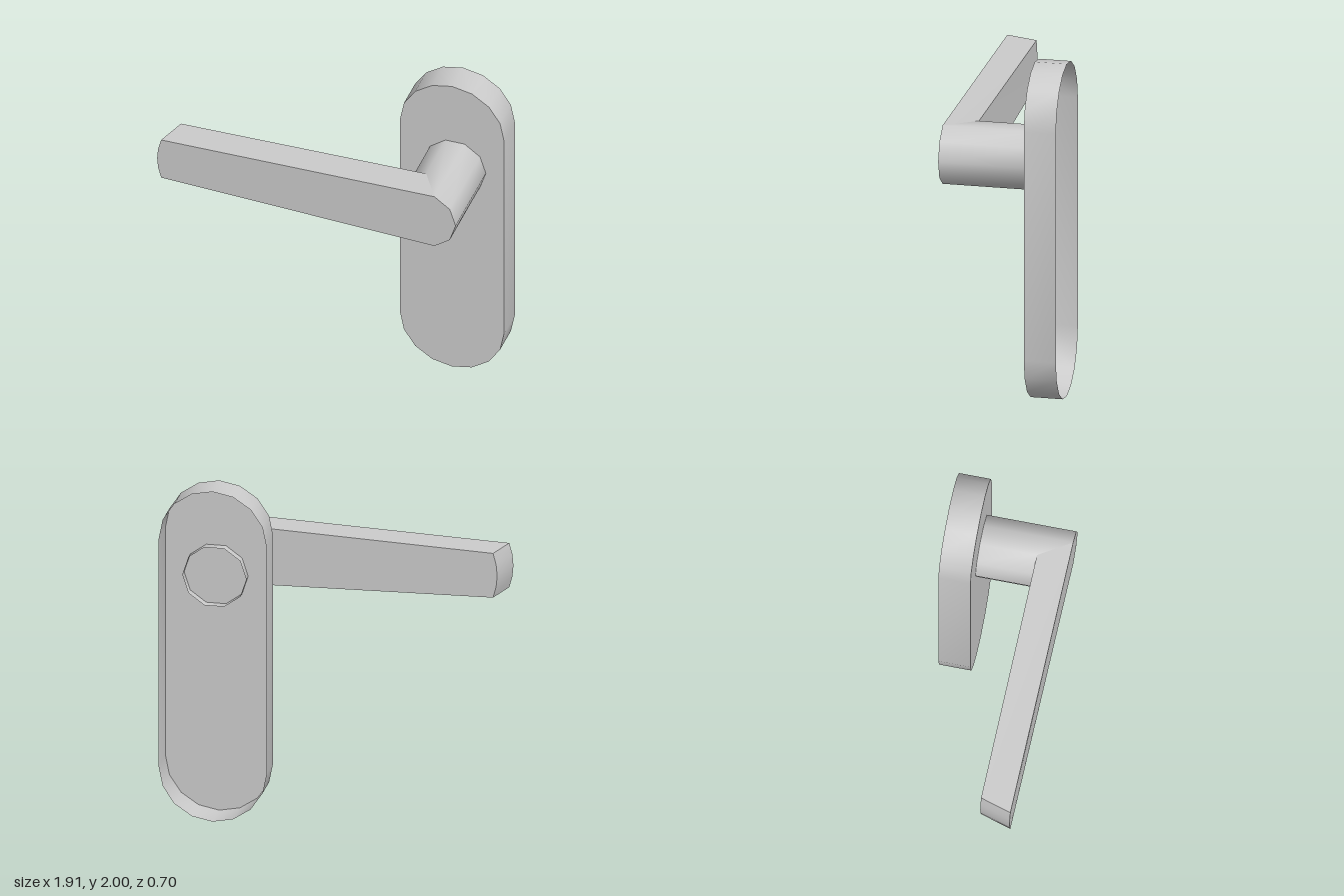
import * as THREE from 'three';
import { toCreasedNormals } from 'three/addons/utils/BufferGeometryUtils.js';

const V = (x, y, z) => new THREE.Vector3(x, y, z);

// Wall between a front and a back outline, both counter-clockwise from the front
function wall(front, back, closed) {
  const tris = [];
  const count = closed ? front.length : front.length - 1;
  for (let i = 0; i < count; i++) {
    const j = (i + 1) % front.length;
    tris.push(front[i], back[i], back[j], front[i], back[j], front[j]);
  }
  return tris;
}

// Filled outline, facing +z or, when flipped, -z
function cap(loop, flip = false) {
  const flat = loop.map((p) => new THREE.Vector2(p.x, p.y));
  return THREE.ShapeUtils.triangulateShape(flat, []).flatMap(([a, b, c]) =>
    flip ? [loop[a], loop[c], loop[b]] : [loop[a], loop[b], loop[c]]);
}

function part(name, ...pieces) {
  const geometry = toCreasedNormals(new THREE.BufferGeometry().setFromPoints(pieces.flat()), 0.7);
  const material = new THREE.MeshStandardMaterial({ color: 0xcccccc, side: THREE.DoubleSide });
  const mesh = new THREE.Mesh(geometry, material);
  mesh.name = name;
  return mesh;
}

export function createModel() {
  const group = new THREE.Group();
  group.name = 'doorHandle';

  // Backplate: round-ended shell, open at the back
  const plateR = 0.312, plateX = 0.642, plateFront = -0.165, plateBack = -0.35;
  const plate = [];
  for (const [start, y] of [[0, 2 - plateR], [Math.PI, plateR]]) {
    for (let i = 0; i <= 8; i++) {
      const a = start + (i * Math.PI) / 8;
      plate.push(V(plateX + plateR * Math.cos(a), y + plateR * Math.sin(a), plateFront));
    }
  }
  const plateRim = plate.map((p) => V(p.x, p.y, plateBack));
  group.add(part('backplate', cap(plate), wall(plate, plateRim, true)));

  // Neck: ten-sided tube through the plate, cut away where the lever leaves it
  const neckR = 0.185, neckX = 0.66, midY = 1.431, leverFront = 0.352, leverBack = 0.165;
  const neck = [];
  for (let i = -2; i < 8; i++) {
    const a = (i * Math.PI) / 5;
    neck.push(V(neckX + neckR * Math.cos(a), midY + neckR * Math.sin(a), i <= 2 ? leverFront : leverBack));
  }
  const neckEnd = neck.map((p) => V(p.x, p.y, plateFront - 0.05));
  group.add(part('neck', wall(neck, neckEnd, true)));

  // Lever: tapers towards a slanted, slightly bowed tip
  const tipFront = [], tipBack = [];
  for (let i = 0; i <= 4; i++) {
    const t = 1 - i / 2;
    const x = -0.958 + 0.024 * t * t;
    const y = midY + 0.134 * t;
    tipFront.push(V(x, y, 0.315));
    tipBack.push(V(x + 0.056, y, 0.135));
  }
  const face = [...neck.slice(0, 5), ...tipFront];
  const sideFront = [neck[4], ...tipFront, neck[0]];
  const sideBack = [neck[5], ...tipBack, neck[9]];
  group.add(part('lever', cap(face), wall(sideFront, sideBack, false), cap(sideBack, true)));

  return group;
}
